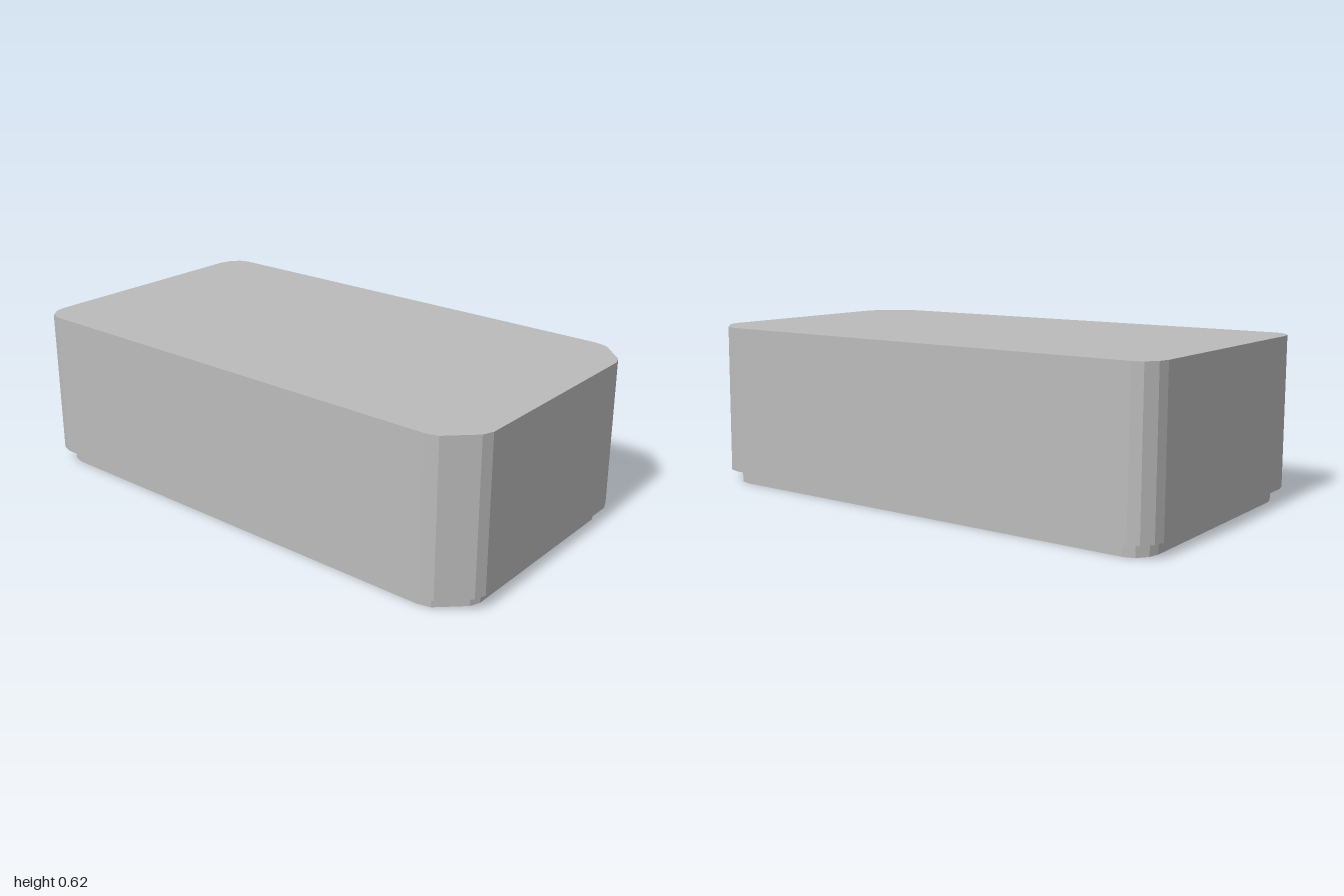
import * as THREE from 'three';

const grey = new THREE.MeshStandardMaterial({ color: 0xbbbbbb });
grey.name = 'grey plastic';

// Quarter outlines of the corners: broad on the left end, small on the right end
const broad = [[1, 0.40], [0.985, 0.44], [0.89, 0.533], [0.84, 0.545]];
const small = [[-0.92, 0.543], [-0.96, 0.53], [-0.99, 0.49], [-1, 0.45]];
const half = [...broad, ...small];
const outline = [...half, ...half.map(([x, z]) => [x, -z]).reverse()];

// Edge of the shallow recess underneath, given as [x, z]
const recess = [
  [0.93, -0.41], [0.87, -0.475],
  [-0.43, -0.475], [-0.43, -0.36], [-0.54, -0.36], [-0.54, -0.475],
  [-0.68, -0.475], [-0.68, -0.34], [-0.76, -0.3], [-0.84, -0.2],
  [-0.9, -0.03], [-0.92, 0.13], [-0.89, 0.27], [-0.82, 0.345], [-0.74, 0.36],
  [-0.66, 0.45], [-0.42, 0.45], [-0.42, 0.41], [-0.38, 0.41], [-0.38, 0.475],
  [0.87, 0.475], [0.93, 0.41],
];
const bosses = [[0.85, 0.39], [0.85, -0.39]];
const sockets = [[-0.88, 0.41], [-0.88, -0.41]];

const toPoints = (list, sx = 1, sz = 1) => list.map(([x, z]) => new THREE.Vector2(x * sx, -z * sz));
const circle = (x, z, r) => new THREE.Path().absarc(x, -z, r, 0, Math.PI * 2);

// Upright prism of a plan shape between two heights
function slab(name, shape, y0, y1) {
  const geo = new THREE.ExtrudeGeometry(shape, { depth: y1 - y0, bevelEnabled: false, curveSegments: 12 });
  geo.rotateX(-Math.PI / 2).translate(0, y0, 0);
  const mesh = new THREE.Mesh(geo, grey);
  mesh.name = name;
  return mesh;
}

// Slight inward draft of the walls towards the top
function draft(mesh) {
  const p = mesh.geometry.attributes.position;
  for (let i = 0; i < p.count; i++) {
    const k = 1 - 0.006 * (p.getY(i) - 0.05) / 0.57;
    p.setX(i, p.getX(i) > 0 ? p.getX(i) * k : p.getX(i));
    p.setZ(i, p.getZ(i) * k);
  }
  mesh.geometry.computeVertexNormals();
  return mesh;
}

export function createModel() {
  const model = new THREE.Group();
  model.name = 'enclosure';

  // Main housing, with a floor layer pierced by the screw holes and a pin hole
  model.add(draft(slab('housing', new THREE.Shape(toPoints(outline)), 0.11, 0.62)));
  const floor = new THREE.Shape(toPoints(outline));
  [...bosses, ...sockets].forEach(([x, z]) => floor.holes.push(circle(x, z, 0.046)));
  floor.holes.push(circle(-0.29, -0.24, 0.018));
  model.add(draft(slab('housingFloor', floor, 0.05, 0.11)));

  // Inset lip around the recess, with raised pads at the right end
  const lip = new THREE.Shape(toPoints(outline, 0.967, 0.943));
  lip.holes.push(new THREE.Path(toPoints(recess)));
  sockets.forEach(([x, z]) => lip.holes.push(circle(x, z, 0.046)));
  model.add(slab('lip', lip, 0, 0.05));

  // Screw bosses at the left end
  bosses.forEach(([x, z]) => {
    const ring = new THREE.Shape().absarc(x, -z, 0.073, 0, Math.PI * 2);
    ring.holes.push(circle(x, z, 0.046));
    model.add(slab('screwBoss', ring, 0, 0.05));
  });
  return model;
}
